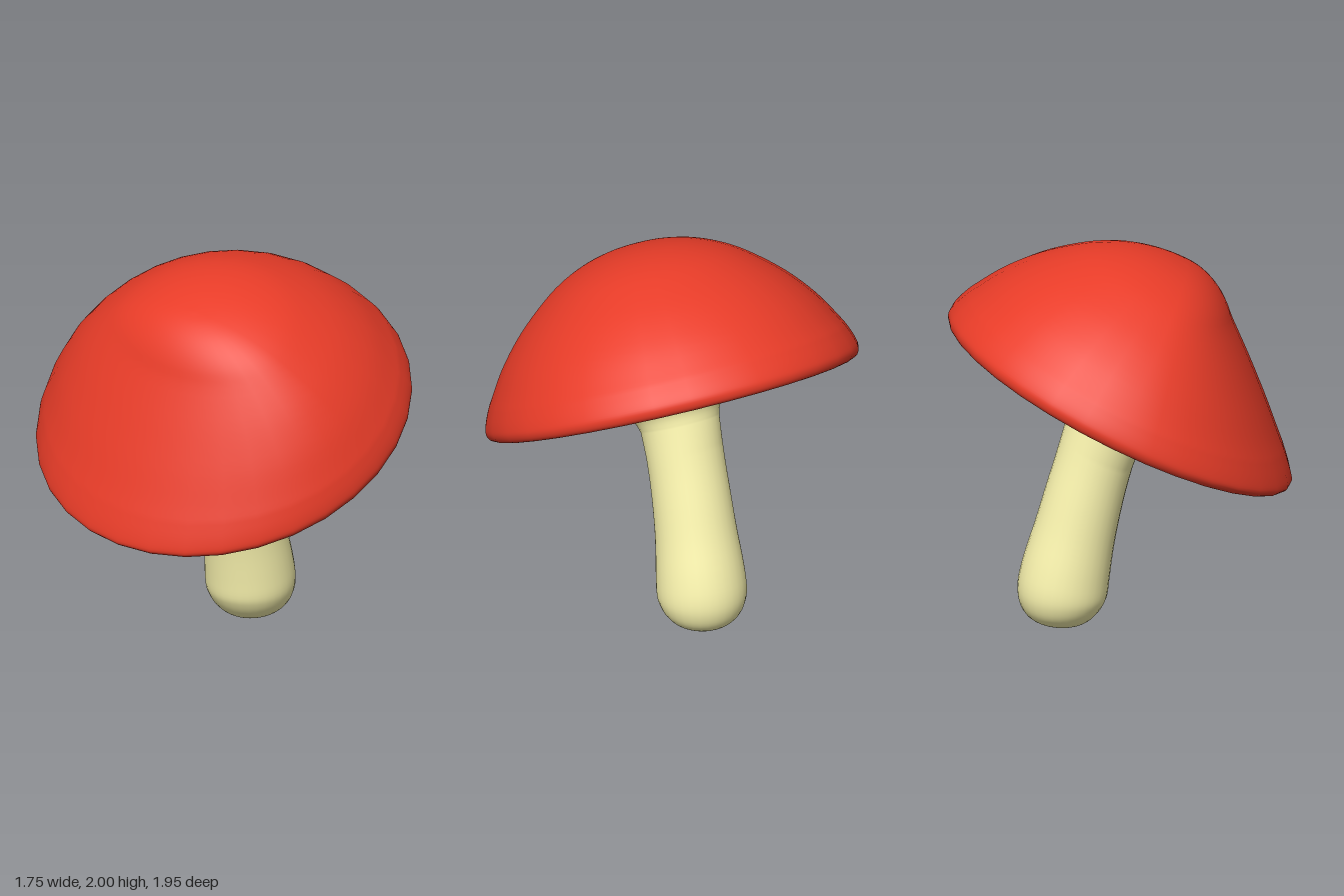
import * as THREE from 'three';
import { mergeVertices } from 'three/addons/utils/BufferGeometryUtils.js';

const SIDES = 32;
const UP = new THREE.Vector3(0, 1, 0);
const CAP_CENTRE = new THREE.Vector3(0, 1.21, 0);
const CAP_AXIS = new THREE.Vector3(-0.494, 1, 0.093).normalize();
const { smoothstep, clamp } = THREE.MathUtils;

const smooth = (pairs, n) =>
  new THREE.SplineCurve(pairs.map(([x, y]) => new THREE.Vector2(x, y))).getPoints(n);

// Weld seams and poles, then shade smoothly
function weld(geometry) {
  geometry.deleteAttribute('uv');
  geometry.deleteAttribute('normal');
  const welded = mergeVertices(geometry, 1e-4);
  welded.computeVertexNormals();
  return welded;
}

// Skin a list of rings { centre, axis, radius }
function loft(rings) {
  const positions = [], index = [];
  const v = new THREE.Vector3(), q = new THREE.Quaternion();
  rings.forEach(({ centre, axis, radius }, i) => {
    q.setFromUnitVectors(UP, axis);
    for (let j = 0; j < SIDES; j++) {
      const a = (j / SIDES) * Math.PI * 2;
      v.set(radius * Math.cos(a), 0, radius * Math.sin(a)).applyQuaternion(q).add(centre);
      positions.push(v.x, v.y, v.z);
      if (i === rings.length - 1) continue;
      const p = i * SIDES + j, r = i * SIDES + ((j + 1) % SIDES);
      index.push(p, p + SIDES, r, r, p + SIDES, r + SIDES);
    }
  });
  const geometry = new THREE.BufferGeometry();
  geometry.setAttribute('position', new THREE.Float32BufferAttribute(positions, 3));
  geometry.setIndex(index);
  return weld(geometry);
}

// Cap: turned profile from the underside, round the rim, to the crown
function createCap() {
  const profile = smooth([
    [0.62, 0.01], [0.72, 0.005], [0.83, -0.015], [0.91, -0.037], [0.957, -0.03],
    [0.978, 0.005], [0.972, 0.05], [0.95, 0.11], [0.922, 0.166], [0.83, 0.317],
    [0.7, 0.47], [0.54, 0.607], [0.41, 0.688], [0.27, 0.743], [0.13, 0.772], [0, 0.78],
  ], 60);
  profile[profile.length - 1].x = 0;
  const geometry = new THREE.LatheGeometry(profile, SIDES);
  // Flatten the low side of the dome, more towards the crown
  const pos = geometry.attributes.position;
  for (let i = 0; i < pos.count; i++) {
    const x = pos.getX(i);
    if (x < 0) pos.setX(i, x * (1 - 0.6 * clamp(pos.getY(i), 0, 0.62)));
  }
  const cap = new THREE.Mesh(weld(geometry),
    new THREE.MeshStandardMaterial({ color: 0xe83c28, side: THREE.DoubleSide }));
  cap.name = 'cap';
  cap.position.copy(CAP_CENTRE);
  cap.quaternion.setFromUnitVectors(UP, CAP_AXIS);
  return cap;
}

// Stem: curved stalk with a rounded foot, flaring into the underside of the cap
function createStem() {
  const onAxis = (h) => CAP_CENTRE.clone().addScaledVector(CAP_AXIS, h);
  const path = new THREE.CatmullRomCurve3([
    new THREE.Vector3(0.298, 0.006, -0.053), new THREE.Vector3(0.291, 0.2, -0.053),
    new THREE.Vector3(0.205, 0.6, -0.04), onAxis(-0.2),
  ]);
  const stalk = smooth([
    [0, 0], [0.075, 0.005], [0.135, 0.024], [0.185, 0.064], [0.217, 0.118], [0.231, 0.185],
    [0.226, 0.3], [0.209, 0.5], [0.2, 0.75], [0.2, 0.9],
  ], 36).map((p) => {
    const t = clamp(p.y, 0, 1);
    const axis = path.getTangentAt(t).lerp(CAP_AXIS, smoothstep(t, 0.4, 1)).normalize();
    return { centre: path.getPointAt(t), axis, radius: Math.max(0, p.x) };
  });
  const flare = smooth([
    [0.206, -0.17], [0.223, -0.118], [0.258, -0.07], [0.325, -0.025], [0.42, 0.003],
    [0.52, 0.012], [0.62, 0.01],
  ], 24).map((p) => ({ centre: onAxis(p.y), axis: CAP_AXIS, radius: p.x }));
  const stem = new THREE.Mesh(loft([...stalk, ...flare]),
    new THREE.MeshStandardMaterial({ color: 0xfcf6b0, side: THREE.DoubleSide }));
  stem.name = 'stem';
  return stem;
}

export function createModel() {
  const group = new THREE.Group();
  group.name = 'mushroom';
  group.add(createCap(), createStem());
  return group;
}
